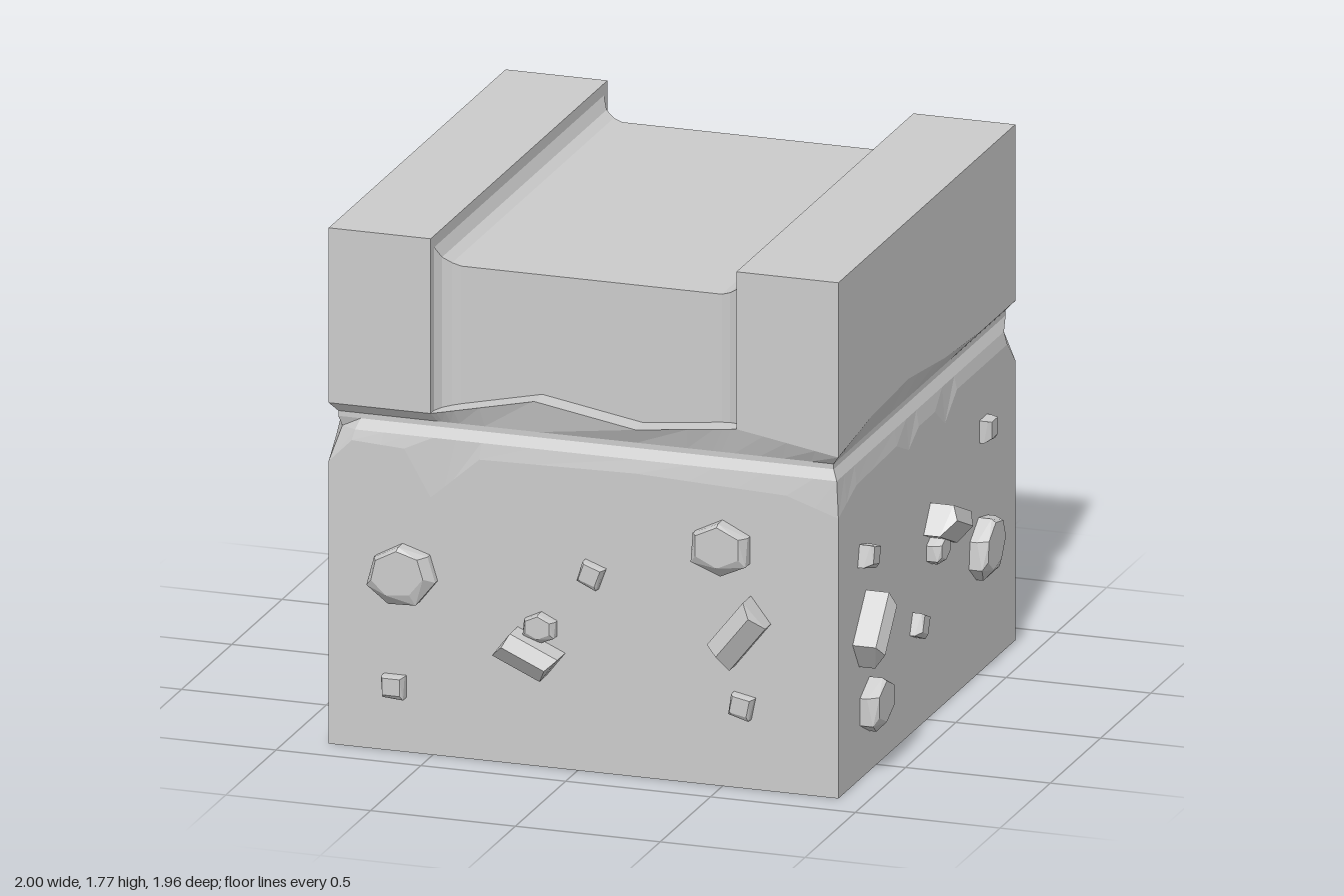
import * as THREE from 'three';
import { ConvexGeometry } from 'three/addons/geometries/ConvexGeometry.js';

const HALF = 0.88; // half width of the block
const CX = 0.02; // the stones make the block sit slightly off centre
const mat = new THREE.MeshStandardMaterial({ color: 0xcccccc, flatShading: true });

// Piecewise linear lookup in [position, value] pairs, positions ascending
function lookup(table, t) {
  let i = 1;
  while (i < table.length - 1 && t > table[i][0]) i++;
  const [a, va] = table[i - 1], [b, vb] = table[i];
  return va + (vb - va) * THREE.MathUtils.clamp((t - a) / (b - a), 0, 1);
}

// Uneven lower lip of the cap, by side (front/back along x, left/right along z)
const LIP = {
  front: [[-0.88, 1.17], [-0.53, 1.17], [-0.17, 1.25], [0.18, 1.19], [0.53, 1.23], [0.88, 1.17]],
  back: [[-0.88, 1.17], [-0.53, 1.24], [-0.17, 1.2], [0.18, 1.18], [0.53, 1.23], [0.88, 1.165]],
  right: [[-0.88, 1.165], [-0.55, 1.165], [-0.18, 1.185], [0.18, 1.225], [0.55, 1.21], [0.88, 1.17]],
  left: [[-0.88, 1.17], [-0.55, 1.2], [-0.18, 1.22], [0.18, 1.18], [0.55, 1.19], [0.88, 1.17]],
};
// Chipped upper edge of the base, by side
const CHIP = {
  front: [[-0.88, 0.97], [-0.8, 1.05], [-0.62, 1.04], [-0.53, 0.88], [-0.36, 1.03], [0.18, 1.04], [0.7, 1.02], [0.88, 0.96]],
  back: [[-0.88, 1.0], [-0.7, 1.03], [-0.36, 0.99], [-0.17, 1.04], [0.53, 1.03], [0.8, 1.05], [0.88, 0.96]],
  right: [[-0.88, 0.96], [-0.8, 1.04], [-0.3, 1.04], [-0.18, 0.96], [-0.08, 1.03], [0.08, 1.03], [0.18, 0.98], [0.3, 1.03], [0.7, 1.02], [0.88, 0.96]],
  left: [[-0.88, 1.0], [-0.7, 1.02], [0.08, 1.04], [0.18, 0.98], [0.3, 1.03], [0.8, 1.04], [0.88, 0.97]],
};

// Stations of half of the front edge: x, depth of the cap wall, height of the cap
const HALF_EDGE = [
  [0.18, 0.8, 1.66], [0.36, 0.8, 1.66], [0.45, 0.8, 1.66], [0.48, 0.805, 1.67], [0.51, 0.818, 1.69],
  [0.528, 0.845, 1.73], [0.528, 0.845, 1.77], [0.528, 0.88, 1.77], [0.62, 0.88, 1.77],
  [0.7, 0.88, 1.77], [0.8, 0.88, 1.77], [0.88, 0.88, 1.77],
];
const EDGE = [
  ...HALF_EDGE.map(([x, z, y]) => [-x, z, y]).reverse(), [-0.17, 0.8, 1.66], ...HALF_EDGE,
].sort((a, b) => a[0] - b[0]);
const SIDE_Z = [0.8, 0.7, 0.55, 0.3, 0.18, 0.08, -0.08, -0.18, -0.3, -0.55, -0.7, -0.8];

// Base, neck and channelled cap as one loft of rings around the block
function blockGeometry() {
  const stations = [
    ...EDGE.map(([x, z, top]) => ({ side: 'front', t: x, x, z: HALF, wall: z, top })),
    ...SIDE_Z.map(z => ({ side: 'right', t: z, x: HALF, z, wall: z, top: 1.77 })),
    ...[...EDGE].reverse().map(([x, z, top]) => ({ side: 'back', t: x, x, z: -HALF, wall: -z, top })),
    ...[...SIDE_Z].reverse().map(z => ({ side: 'left', t: z, x: -HALF, z, wall: z, top: 1.77 })),
  ];
  const at = (s, scale, y) => new THREE.Vector3(s.x * scale, y, s.z * scale);
  // two opposite corners are knocked off below the neck
  const knock = s => (s.x * s.z < -0.77 ? 0.96 : 0.99);
  const rings = [
    s => at(s, 1, 0),
    s => at(s, 1, lookup(CHIP[s.side], s.t)),
    s => at(s, knock(s), 1.085),
    s => at(s, 0.972, 1.12),
    s => at(s, 0.972, 1.138),
    s => at(s, 1, lookup(LIP[s.side], s.t)),
    s => new THREE.Vector3(s.x, lookup(LIP[s.side], s.t), s.wall),
    s => new THREE.Vector3(s.x, s.top, s.wall),
  ].map(f => stations.map(f));

  const pos = [];
  const tri = (a, b, c) => {
    const area = b.clone().sub(a).cross(c.clone().sub(a)).length();
    if (area > 1e-7) for (const p of [a, b, c]) pos.push(p.x, p.y, p.z);
  };
  const quad = (a, b, c, d) => { tri(a, b, c); tri(a, c, d); };
  const count = stations.length;
  for (let k = 0; k < rings.length - 1; k++) {
    for (let i = 0; i < count; i++) {
      const j = (i + 1) % count;
      quad(rings[k][i], rings[k][j], rings[k + 1][j], rings[k + 1][i]);
    }
  }
  // strips from front to back close the top channel and the underside
  const n = EDGE.length, top = rings[rings.length - 1], bottom = rings[0];
  const opposite = i => n + SIDE_Z.length + n - 1 - i;
  for (let i = 0; i < n - 1; i++) {
    quad(top[i], top[i + 1], top[opposite(i + 1)], top[opposite(i)]);
    quad(bottom[i + 1], bottom[i], bottom[opposite(i)], bottom[opposite(i + 1)]);
  }
  const g = new THREE.BufferGeometry();
  g.setAttribute('position', new THREE.Float32BufferAttribute(pos, 3));
  g.computeVertexNormals();
  return g;
}

// Faceted stone with a smaller, shifted outer face
function stoneGeometry(sides, w, h, d) {
  const pts = [];
  for (let i = 0; i < sides; i++) {
    const a = ((i + 0.5) / sides) * Math.PI * 2;
    const k = sides === 4 ? 1.35 : 1.04;
    const x = Math.cos(a) * w * 0.5 * k, y = Math.sin(a) * h * 0.5 * k;
    pts.push(new THREE.Vector3(x, y, -0.03), new THREE.Vector3(x, y, d * (i % 2 ? 0.75 : 0.4)));
    pts.push(new THREE.Vector3(x * 0.78, y * 0.75 + h * 0.08, d));
  }
  return new ConvexGeometry(pts);
}

// Long shard with a ridge along its length
function shardGeometry(w, h, d) {
  const pts = [];
  for (const s of [-1, 1]) {
    const x = s * w * 0.5;
    for (const [y, z] of [[-0.5, -0.03], [0.5, -0.03], [-0.5, d * 0.55], [0.5, d * 0.8], [0.05, d]]) {
      pts.push(new THREE.Vector3(x * (z === d ? 0.9 : 1) + y * h * 0.25, y * h, z));
    }
  }
  return new ConvexGeometry(pts);
}

// Stones by side: number of faces (2 = shard), across, height, width, length, turn, depth
const STONES = {
  front: [0, [
    [7, -0.62, 0.61, 0.23, 0.2, 0.3, 0.06], [4, 0.03, 0.68, 0.08, 0.08, -0.35, 0.04],
    [6, 0.48, 0.82, 0.21, 0.18, 0, 0.06], [2, 0.55, 0.54, 0.2, 0.11, 0.9, 0.1],
    [2, -0.18, 0.39, 0.18, 0.11, -0.42, 0.1], [6, -0.145, 0.48, 0.12, 0.1, 0, 0.045],
    [4, -0.65, 0.225, 0.08, 0.08, 0, 0.045], [4, 0.55, 0.285, 0.08, 0.08, -0.2, 0.04],
  ]],
  right: [Math.PI / 2, [
    [4, -0.64, 0.76, 0.085, 0.08, -0.25, 0.05], [2, -0.64, 0.51, 0.2, 0.11, 0.85, 0.1],
    [6, -0.57, 0.23, 0.21, 0.18, 0, 0.06], [4, -0.12, 0.36, 0.08, 0.08, -0.4, 0.04],
    [2, 0.09, 0.65, 0.19, 0.11, -0.4, 0.1], [6, 0.05, 0.57, 0.12, 0.1, 0, 0.05],
    [7, 0.53, 0.43, 0.23, 0.2, 0.4, 0.06], [4, 0.56, 0.825, 0.08, 0.08, 0, 0.04],
  ]],
  back: [Math.PI, [
    [4, -0.56, 0.7, 0.08, 0.08, -0.2, 0.04], [2, -0.53, 0.51, 0.19, 0.11, 0.8, 0.1],
    [6, -0.4, 0.25, 0.21, 0.17, 0, 0.06], [4, -0.02, 0.43, 0.08, 0.08, -0.3, 0.04],
    [2, 0.12, 0.74, 0.18, 0.12, -0.35, 0.1], [6, 0.1, 0.63, 0.12, 0.1, 0, 0.05],
    [7, 0.53, 0.6, 0.21, 0.2, 0.3, 0.06], [4, 0.48, 0.965, 0.08, 0.08, 0, 0.04],
  ]],
  left: [-Math.PI / 2, [
    [7, -0.33, 0.75, 0.34, 0.3, 0.25, 0.08], [2, 0.31, 0.41, 0.25, 0.19, -0.2, 0.135],
    [6, 0.36, 0.54, 0.14, 0.14, 0, 0.07], [4, -0.33, 0.18, 0.11, 0.11, -0.15, 0.05],
  ]],
};

export function createModel() {
  const model = new THREE.Group();
  model.name = 'stoneBlock';
  const block = new THREE.Mesh(blockGeometry(), mat);
  block.name = 'block';
  block.position.x = CX;
  model.add(block);

  for (const [side, [turn, list]] of Object.entries(STONES)) {
    const group = new THREE.Group();
    group.name = side + 'Stones';
    group.position.x = CX;
    group.rotation.y = turn;
    list.forEach(([sides, u, y, w, h, angle, d], i) => {
      const geo = sides === 2 ? shardGeometry(w, h, d) : stoneGeometry(sides, w, h, d);
      const stone = new THREE.Mesh(geo, mat);
      stone.name = (sides === 2 ? 'shard' : 'stone') + (i + 1);
      stone.position.set(u, y, HALF);
      stone.rotation.z = angle;
      group.add(stone);
    });
    model.add(group);
  }
  return model;
}
